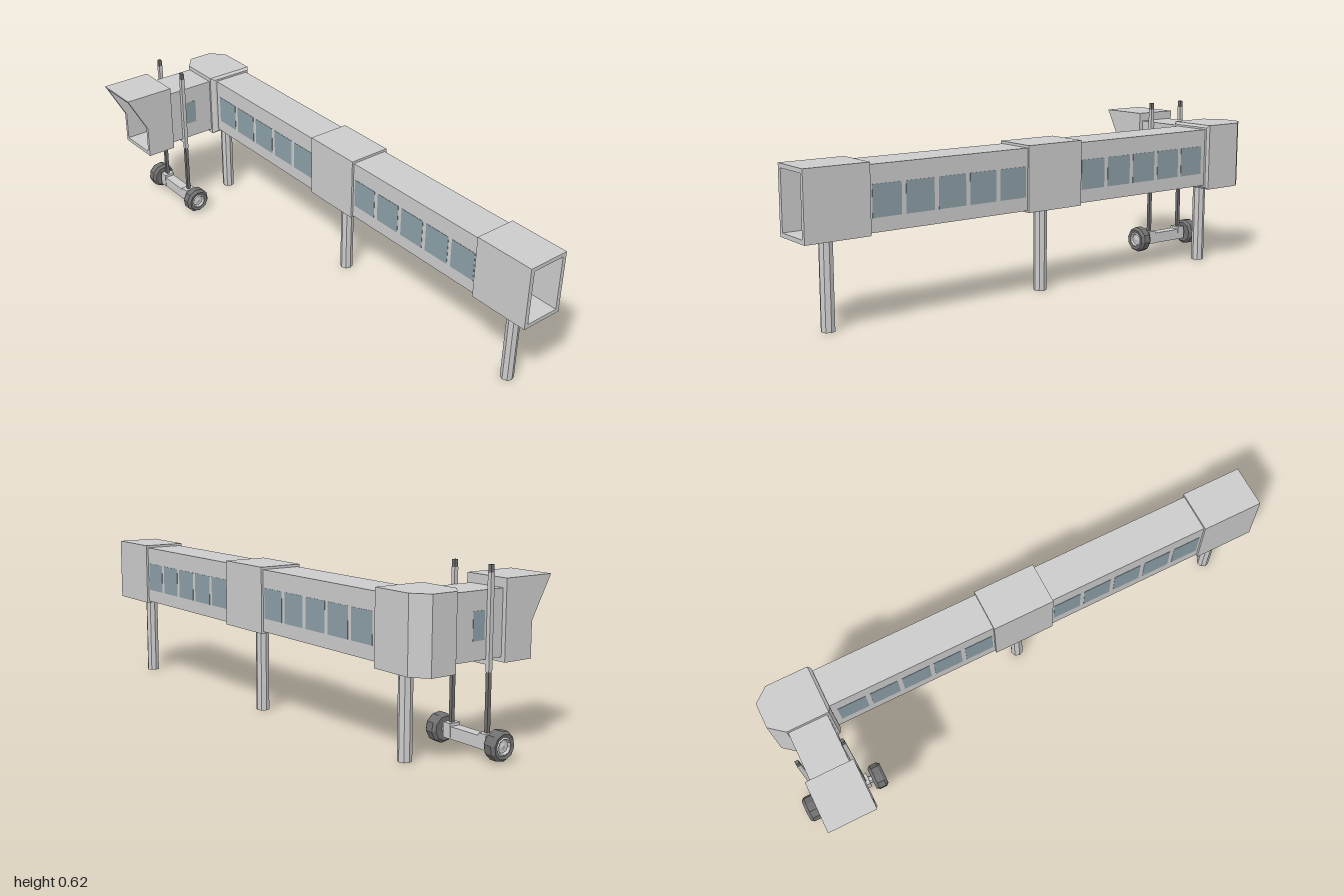
import * as THREE from 'three';

const paint = (color) => new THREE.MeshStandardMaterial({ color, flatShading: true });

export function createModel() {
  const root = new THREE.Group();
  const grey = paint(0xcccccc);
  const dark = paint(0x707070);
  const glass = paint(0x8c9fa7);

  const add = (name, geometry, material = grey, parent = root) => {
    const mesh = new THREE.Mesh(geometry, material);
    mesh.name = name;
    parent.add(mesh);
    return mesh;
  };
  // Box given by its lower and upper limits on each axis
  const box = (name, [x0, x1], [y0, y1], [z0, z1], material, parent) => {
    const mesh = add(name, new THREE.BoxGeometry(x1 - x0, y1 - y0, z1 - z0), material, parent);
    mesh.position.set((x0 + x1) / 2, (y0 + y1) / 2, (z0 + z1) / 2);
    return mesh;
  };
  const polygon = (points) => new THREE.Shape(points.map(([x, y]) => new THREE.Vector2(x, y)));
  const extrude = (shape, depth) => new THREE.ExtrudeGeometry(shape, { depth, bevelEnabled: false });

  // Long corridor and its middle collar
  box('mainCorridor', [0.126, 0.274], [0.317, 0.538], [-0.75, 0.77]);
  box('middleCollar', [0.118, 0.282], [0.31, 0.547], [-0.105, 0.133]);

  // Hollow entrance portal
  const portal = polygon([[0.118, 0.31], [0.282, 0.31], [0.282, 0.547], [0.118, 0.547]]);
  portal.holes.push(polygon([[0.134, 0.325], [0.134, 0.532], [0.267, 0.532], [0.267, 0.325]]));
  add('entrancePortal', extrude(portal, 0.235)).position.z = 0.765;

  // Rows of windows on both sides of the corridor
  for (const start of [0.755, -0.113]) {
    for (let i = 0; i < 5; i++) {
      const z = start - i * 0.126;
      for (const x of [0.126, 0.274]) {
        box('corridorWindow', [x - 0.001, x + 0.001], [0.365, 0.474], [z - 0.109, z], glass);
      }
    }
  }

  // Support columns
  for (const [z, height] of [[0.885, 0.312], [0.017, 0.312], [-0.8, 0.303]]) {
    add('supportColumn', new THREE.CylinderGeometry(0.024, 0.024, height, 8)).position.set(0.2, height / 2, z);
  }

  // Corner rotunda with cut rear corners
  const plan = polygon([[0.101, 0.756], [0.29, 0.756], [0.29, 0.915], [0.244, 0.97], [0.147, 0.97], [0.101, 0.915]]);
  const rotunda = extrude(plan, 0.253);
  rotunda.rotateX(-Math.PI / 2);
  add('rotunda', rotunda).position.y = 0.301;

  // Narrowing collar on the front of the rotunda
  const collar = new THREE.BoxGeometry(1, 1, 1);
  const p = collar.attributes.position;
  for (let i = 0; i < p.count; i++) {
    const front = p.getZ(i) > 0;
    const [left, right, low, high] = front ? [0.118, 0.282, 0.31, 0.545] : [0.101, 0.29, 0.301, 0.554];
    p.setXYZ(i, p.getX(i) < 0 ? left : right, p.getY(i) < 0 ? low : high, front ? -0.746 : -0.756);
  }
  collar.computeVertexNormals();
  add('rotundaCollar', collar);

  // Short corridor to the cab, centred on its own axis
  const arm = new THREE.Group();
  arm.name = 'cabArm';
  arm.position.z = -0.838;
  root.add(arm);
  box('cabCorridor', [-0.11, 0.11], [0.317, 0.538], [-0.074, 0.074], grey, arm);
  for (const z of [-0.074, 0.074]) {
    box('cabCorridorWindow', [-0.021, 0.027], [0.38, 0.475], [z - 0.001, z + 0.001], glass, arm);
  }

  // Open cab with an overhanging canopy
  const cabSide = polygon([[-0.097, 0.301], [-0.097, 0.57], [-0.293, 0.57], [-0.213, 0.425], [-0.213, 0.301]]);
  for (const z of [-0.09, 0.077]) {
    add('cabSide', extrude(cabSide, 0.013), grey, arm).position.z = z;
  }
  const roof = polygon([[-0.097, 0.57], [-0.293, 0.57], [-0.286, 0.557], [-0.097, 0.557]]);
  add('cabRoof', extrude(roof, 0.154), grey, arm).position.z = -0.077;
  box('cabFloor', [-0.213, -0.097], [0.301, 0.316], [-0.077, 0.077], grey, arm);
  box('cabBackWall', [-0.11, -0.097], [0.316, 0.557], [-0.077, 0.077], grey, arm);

  // Wheeled undercarriage with lifting posts
  const bogie = new THREE.Group();
  bogie.name = 'undercarriage';
  bogie.position.set(-0.036, 0, 0);
  arm.add(bogie);
  box('crossbar', [-0.007, 0.007], [0.301, 0.316], [-0.083, 0.083], grey, bogie);
  box('axleBeam', [-0.02, 0.02], [0.03, 0.072], [-0.1, 0.1], grey, bogie);

  // Lathe outlines as radius and distance along the axle
  const lathe = (points) => {
    const geometry = new THREE.LatheGeometry(points.map(([r, y]) => new THREE.Vector2(r, y)), 10);
    geometry.rotateX(Math.PI / 2);
    geometry.rotateZ(0.16);
    return geometry;
  };
  const tyre = lathe([[0, -0.022], [0.042, -0.025], [0.051, -0.014], [0.051, 0.014], [0.042, 0.025], [0.031, 0.022]]);
  const hub = lathe([[0.031, 0.022], [0.026, 0.025], [0.022, 0.016], [0.012, 0.016], [0, 0.02]]);

  for (const side of [-1, 1]) {
    const z = side * 0.083;
    box('postMount', [-0.022, 0.022], [0.03, 0.082], [z - 0.017, z + 0.017], grey, bogie);
    box('liftPost', [-0.0065, 0.0065], [0.07, 0.617], [z - 0.0065, z + 0.0065], dark, bogie);
    box('postSleeve', [-0.0075, 0.0075], [0.278, 0.592], [z - 0.0075, z + 0.0075], grey, bogie);

    const axle = add('axleStub', new THREE.CylinderGeometry(0.014, 0.014, 0.03, 10), grey, bogie);
    axle.rotation.x = Math.PI / 2;
    axle.position.set(0, 0.053, side * 0.108);

    const wheel = new THREE.Group();
    wheel.name = 'wheel';
    wheel.position.set(0, 0.053, side * 0.137);
    wheel.rotation.y = side > 0 ? 0 : Math.PI;
    bogie.add(wheel);
    add('tyre', tyre, dark, wheel);
    add('hub', hub, grey, wheel);
  }
  return root;
}
